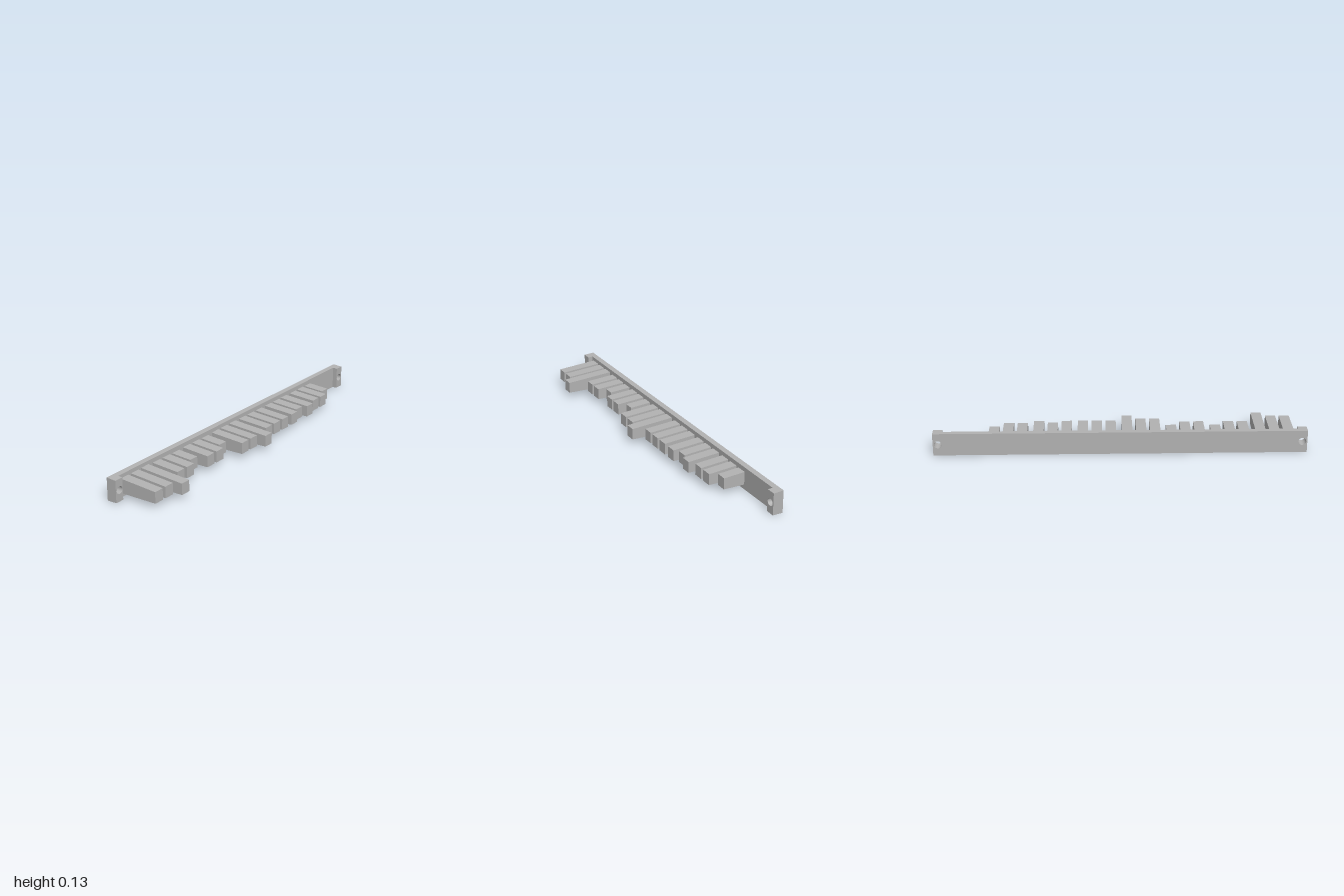
import * as THREE from 'three';

const BACK = -0.149, PLATE_FRONT = -0.118, TAB_FRONT = -0.091;
const MID_Y = 0.063, HALF_H = 0.063;
const HOLE_X = 0.973, HOLE_R = 0.021;

// Scale heights about a centre line by a rule in z, giving a moulding draft
function draft(geometry, centreY, scaleAt) {
  const p = geometry.attributes.position;
  for (let i = 0; i < p.count; i++) {
    p.setY(i, centreY + (p.getY(i) - centreY) * scaleAt(p.getZ(i)));
  }
  geometry.computeVertexNormals();
  return geometry;
}

// Upright slab between two x values and two z values, with round holes
function slab(x0, x1, z0, z1, holes) {
  const s = new THREE.Shape();
  s.moveTo(x0, 0);
  s.lineTo(x1, 0);
  s.lineTo(x1, 2 * HALF_H);
  s.lineTo(x0, 2 * HALF_H);
  s.closePath();
  for (const x of holes) {
    const h = new THREE.Path();
    h.absarc(x, MID_Y, HOLE_R, 0, Math.PI * 2, true);
    s.holes.push(h);
  }
  const g = new THREE.ExtrudeGeometry(s, { depth: z1 - z0, bevelEnabled: false, curveSegments: 16 });
  g.translate(0, 0, z0);
  return draft(g, MID_Y, z => 1 - (z - BACK) * 0.035 / HALF_H);
}

export function createModel() {
  const model = new THREE.Group();
  const grey = new THREE.MeshStandardMaterial({ color: 0xb2b2b2 });
  grey.name = 'grey plastic';

  const add = (name, geometry) => {
    const mesh = new THREE.Mesh(geometry, grey);
    mesh.name = name;
    model.add(mesh);
    return mesh;
  };

  // Long back plate with a screw hole at each end
  add('backPlate', slab(-1, 1, BACK, PLATE_FRONT, [-HOLE_X, HOLE_X]));

  // Raised end tabs around the screw holes
  add('rightEndTab', slab(-1, -0.95, PLATE_FRONT, TAB_FRONT, [-HOLE_X]));
  add('leftEndTab', slab(0.95, 1, PLATE_FRONT, TAB_FRONT, [HOLE_X]));

  // Fingers in groups of three, listed by the z of their tips
  const tips = [
    [0.107, 0.107, 0.149],
    [0.045, 0.045, 0.004],
    [0.045, 0.045, 0.004],
    [0.086, 0.086, 0.128],
    [0.066, 0.066, 0.066],
    [0.066, 0.045, 0.066],
    [0.045, 0.045, 0.004],
  ];
  const width = 0.056, tipHalf = 0.0312, fingerY = 0.064;
  tips.forEach((group, t) => group.forEach((tip, k) => {
    const length = tip - PLATE_FRONT;
    const g = new THREE.BoxGeometry(width, tipHalf * 2, length);
    g.translate(0, fingerY, PLATE_FRONT + length / 2);
    draft(g, fingerY, z => 1 + (tip - z) * 0.039 / tipHalf);
    add(`finger${t * 3 + k + 1}`, g).position.x = -0.906 + t * 0.239 + k * 0.0755;
  }));

  return model;
}
